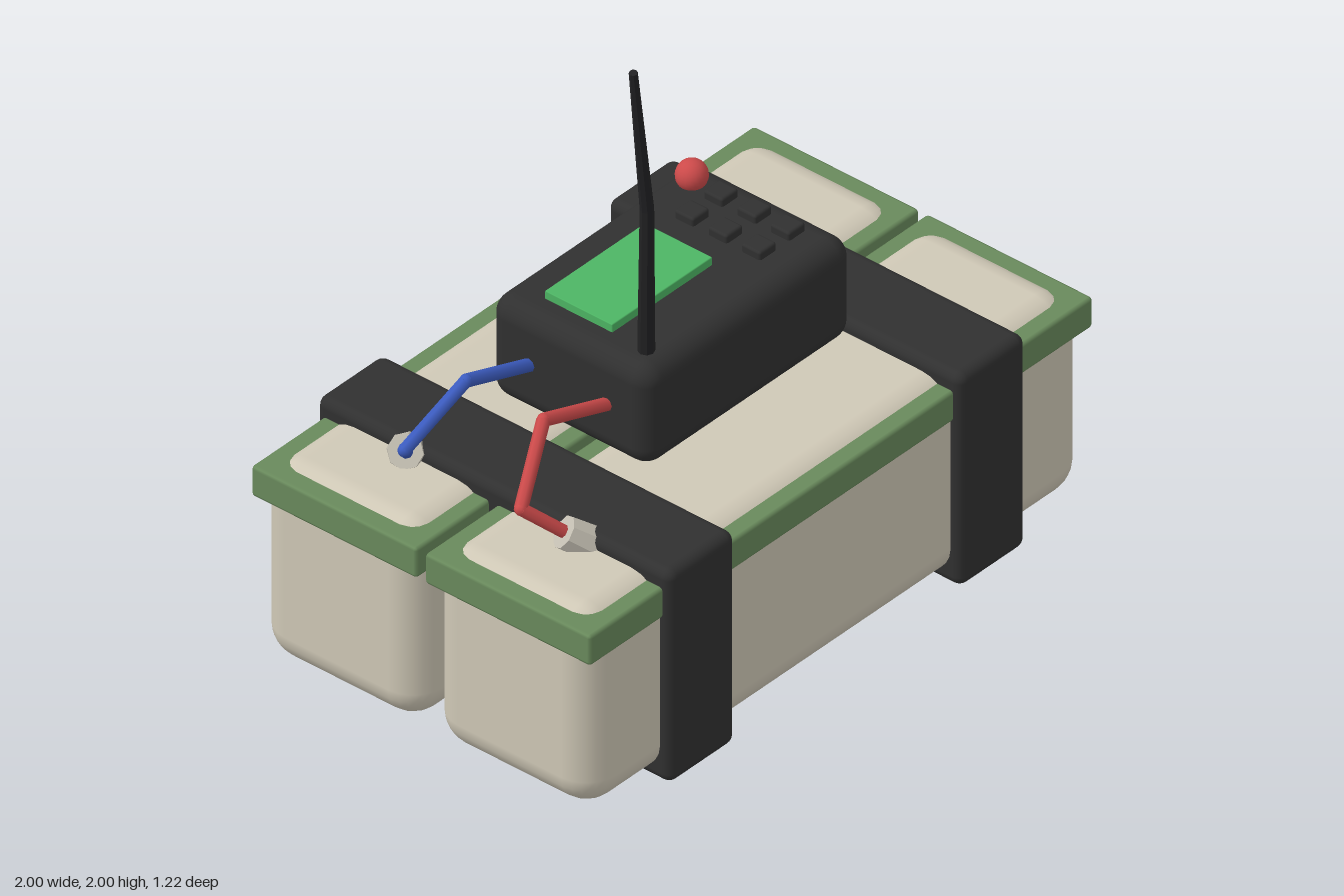
import * as THREE from 'three';
import { RoundedBoxGeometry } from 'three/addons/geometries/RoundedBoxGeometry.js';

const material = (name, color, flatShading = false) => {
  const m = new THREE.MeshStandardMaterial({ color, flatShading });
  m.name = name;
  return m;
};

export function createModel() {
  const model = new THREE.Group();
  model.name = 'strappedDevice';

  const beige = material('beige', 0xcfc8b6);
  const olive = material('oliveGreen', 0x698a5c);
  const charcoal = material('charcoal', 0x303030);
  const black = material('black', 0x222224, true);
  const screenGreen = material('screenGreen', 0x4db564);
  const red = material('red', 0xcc4a4a);
  const blue = material('blue', 0x3c5cc0);
  const plugGrey = material('plugGrey', 0xc4bfb2, true);
  red.flatShading = false;

  const add = (name, geometry, mat) => {
    const mesh = new THREE.Mesh(geometry, mat);
    mesh.name = name;
    model.add(mesh);
    return mesh;
  };

  // Rounded block given by its extents on each axis
  const block = (name, [x0, x1], [y0, y1], [z0, z1], radius, segments, mat) => {
    const g = new RoundedBoxGeometry(x1 - x0, y1 - y0, z1 - z0, segments, radius);
    g.translate((x0 + x1) / 2, (y0 + y1) / 2, (z0 + z1) / 2);
    return add(name, g, mat);
  };

  // Straight tapered rod between two points
  const rod = (name, a, b, r0, r1, sides, mat) => {
    const from = new THREE.Vector3(...a);
    const dir = new THREE.Vector3(...b).sub(from);
    const g = new THREE.CylinderGeometry(r1, r0, dir.length(), sides);
    g.translate(0, dir.length() / 2, 0);
    const mesh = add(name, g, mat);
    mesh.position.copy(from);
    mesh.quaternion.setFromUnitVectors(new THREE.Vector3(0, 1, 0), dir.normalize());
    return mesh;
  };

  // Two long packs, each with a green rim
  for (const s of [1, -1]) {
    const span = (a, b) => (s > 0 ? [a, b] : [-b, -a]);
    block('pack', [-0.99, 0.99], [0.02, 0.642], span(0.02, 0.575), 0.1, 3, beige);
    block('packRim', [-1, 1], [0.53, 0.626], span(0.014, 0.583), 0.01, 1, olive);
  }

  // Straps around both packs
  for (const x of [-0.58, 0.575]) {
    block('strap', [x - 0.132, x + 0.132], [0, 0.68], [-0.61, 0.61], 0.03, 3, charcoal);
  }

  // Control unit with screen, buttons and lamp
  block('controlUnit', [-0.415, 0.41], [0.68, 1.0], [-0.278, 0.278], 0.06, 4, charcoal);
  block('screen', [-0.33, 0.068], [0.98, 1.025], [-0.152, 0.08], 0.003, 1, screenGreen);
  for (const x of [0.195, 0.31]) {
    for (const z of [-0.1, 0.015, 0.13]) {
      block('button', [x - 0.033, x + 0.033], [0.97, 1.025], [z - 0.033, z + 0.033], 0.008, 2, charcoal);
    }
  }
  add('lamp', new THREE.SphereGeometry(0.045, 20, 14), red).position.set(0.31, 1.025, -0.2);

  // Bent wires ending in plugs
  for (const [s, mat, name] of [[1, red, 'redWire'], [-1, blue, 'blueWire']]) {
    const path = [
      [-0.38, 0.83, 0.133 * s], [-0.665, 0.928, 0.133 * s],
      [-0.832, 0.765, 0.2 * s], [-0.72, 0.655, 0.29 * s],
    ];
    for (let i = 0; i < 3; i++) {
      rod(name, path[i], path[i + 1], 0.019, 0.019, 8, mat);
      if (i) add(name + 'Bend', new THREE.SphereGeometry(0.019, 8, 6), mat).position.set(...path[i]);
    }
    rod('plug', [-0.745, 0.678, 0.272 * s], [-0.68, 0.62, 0.322 * s], 0.048, 0.056, 8, plugGrey);
  }

  // Bent antenna
  rod('antennaLower', [-0.328, 0.95, 0.195], [-0.368, 1.5, 0.232], 0.024, 0.019, 8, black);
  rod('antennaUpper', [-0.368, 1.49, 0.232], [-0.464, 1.995, 0.268], 0.019, 0.012, 8, black);

  return model;
}
